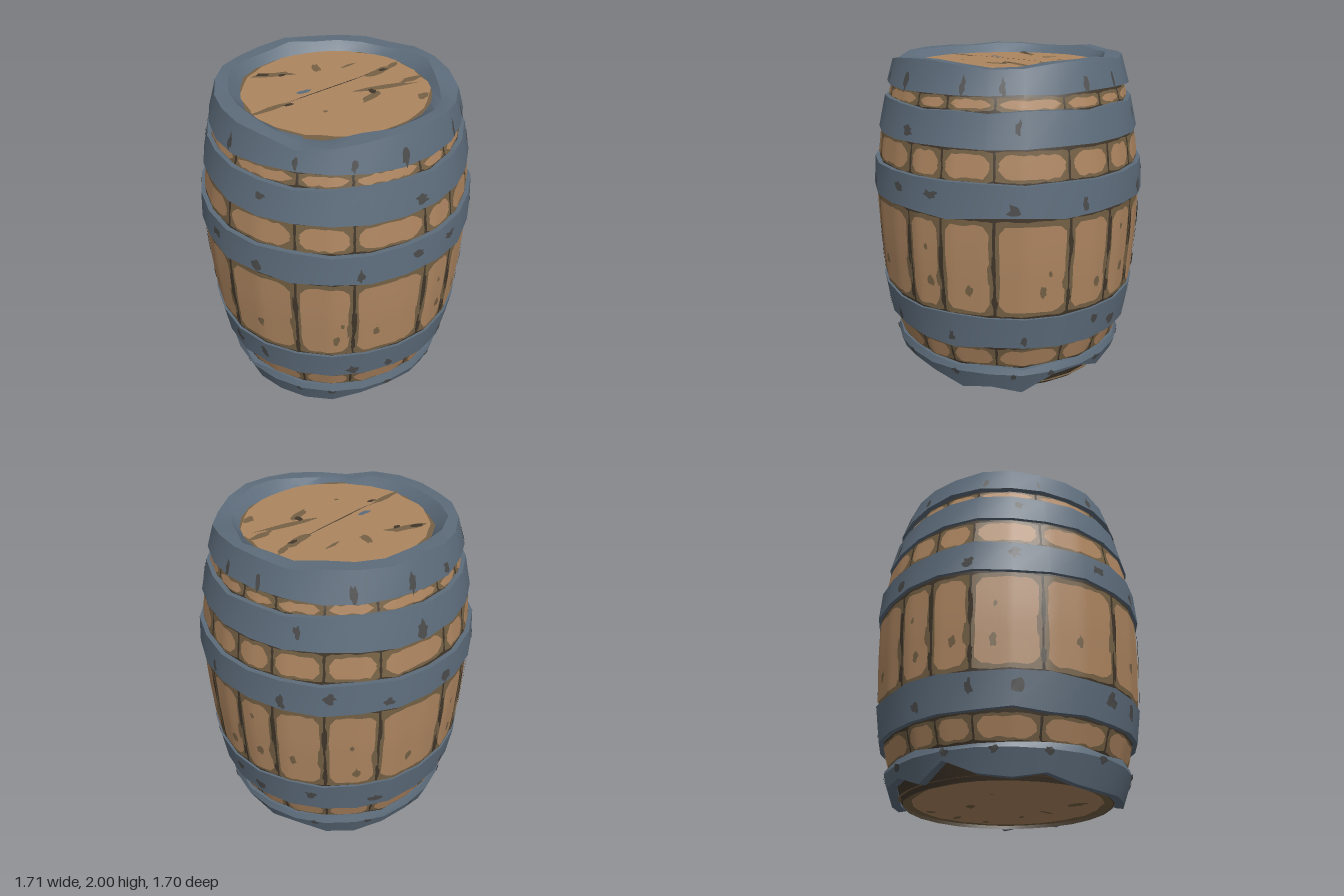
import * as THREE from 'three';
import { mergeGeometries, toCreasedNormals } from 'three/addons/utils/BufferGeometryUtils.js';

const material = (name, color) => {
  const m = new THREE.MeshStandardMaterial({ color, side: THREE.DoubleSide });
  m.name = name;
  return m;
};

// Small seeded random numbers
let seed = 11;
const rnd = () => (seed = (seed * 16807) % 2147483647) / 2147483647;
const jit = (a) => (rnd() * 2 - 1) * a;

const RAD = Math.PI / 180, N = 24, STEP = 360 / N;
const corners = Array.from({ length: N }, () => 1 + jit(0.011));

// Radius factor of the uneven 24-sided plan; angle in degrees from +z toward +x
function plan(deg) {
  const d = ((deg % 360) + 360) % 360, i = Math.floor(d / STEP) % N;
  const a = (d - i * STEP) * RAD, D = STEP * RAD;
  const p = corners[i], q = corners[(i + 1) % N];
  return (p * q * Math.sin(D)) / (p * Math.sin(a) + q * Math.sin(D - a));
}
const polar = (deg, r, y) => {
  const R = r * plan(deg);
  return new THREE.Vector3(R * Math.sin(deg * RAD), y, R * Math.cos(deg * RAD));
};
// Linear lookup in a list of [y, radius]
function lookup(list, y) {
  let i = 0;
  while (i < list.length - 2 && y > list[i + 1][0]) i++;
  const [a, ra] = list[i], [b, rb] = list[i + 1];
  return ra + ((rb - ra) * (y - a)) / (b - a);
}

// Grid surface from point(column, row); columns run right, rows run up
function grid(cols, rows, point) {
  const pos = [], idx = [], w = cols + 1;
  for (let j = 0; j <= rows; j++) for (let i = 0; i <= cols; i++) pos.push(...point(i, j).toArray());
  for (let j = 0; j < rows; j++) for (let i = 0; i < cols; i++) {
    const a = j * w + i;
    idx.push(a, a + 1, a + w + 1, a, a + w + 1, a + w);
  }
  const g = new THREE.BufferGeometry();
  g.setAttribute('position', new THREE.Float32BufferAttribute(pos, 3));
  g.setIndex(idx);
  return toCreasedNormals(g.toNonIndexed(), 0.5);
}

// Irregular flat spot placed through a (u, v) mapping
function blob(map, u, v, du, dv, turn = 0, rough = 0.3) {
  const n = 12, ring = [];
  for (let i = 0; i < n; i++) {
    const a = (i / n) * Math.PI * 2, k = 1 + jit(rough);
    const x = Math.cos(a) * du * k, y = Math.sin(a) * dv * k;
    ring.push([u + x * Math.cos(turn) - y * Math.sin(turn), v + x * Math.sin(turn) + y * Math.cos(turn)]);
  }
  return grid(n, 1, (i, j) => (j ? map(u, v) : map(...ring[i % n])));
}

// Rounded, slightly wavy plank face wrapped on the staves
const staveProfile = [[0.02, 0.63], [0.2, 0.715], [0.36, 0.765], [0.57, 0.81], [0.9, 0.83],
  [1.17, 0.835], [1.36, 0.815], [1.54, 0.79], [1.74, 0.735], [1.83, 0.71], [1.93, 0.62]];
const onStave = (off) => (deg, y) => polar(deg, lookup(staveProfile, y) + off, y);
function plank(a0, a1, y0, y1, off, round, wave) {
  const cols = Math.max(6, Math.ceil((a1 - a0) / 2.5)), rows = 6, map = onStave(off);
  const top = Array.from({ length: cols + 1 }, () => jit(wave));
  const bot = top.map(() => jit(wave));
  const side = Array.from({ length: rows + 1 }, () => [jit(wave * 60), jit(wave * 60)]);
  return grid(cols, rows, (i, j) => {
    const t = i / cols, s = j / rows, e = Math.max(0, (Math.abs(2 * t - 1) - 0.6) / 0.4);
    const cut = round * (1 - Math.sqrt(1 - e * e * 0.99));
    const lo = y0 + cut + bot[i], hi = y1 - cut + top[i];
    return map(a0 + (a1 - a0) * t + side[j][0] * (1 - t) + side[j][1] * t, lo + (hi - lo) * s);
  });
}

export function createModel() {
  const group = new THREE.Group();
  const wood = material('wood', 0xad8560);
  const woodShade = material('wood edge', 0x756145);
  const gap = material('dark gap', 0x40362a);
  const iron = material('blue iron', 0x5d6c7b);
  const stain = material('iron stain', 0x494a49);
  const add = (name, geos, mat) => {
    const mesh = new THREE.Mesh(Array.isArray(geos) ? mergeGeometries(geos) : geos, mat);
    mesh.name = name;
    group.add(mesh);
  };

  // Barrel wall
  add('staveWall', grid(N, staveProfile.length - 1, (i, j) =>
    polar(i * STEP, staveProfile[j][1], staveProfile[j][0])), gap);

  // Plank faces showing between the hoops
  const joints = [-75, -44, -21, 10, 26.5, 48, 78, 98, 115, 136, 158, 190, 207, 224, 252, 285];
  const bands = [[0.2, 0.36, 0.022], [0.57, 1.17, 0.034], [1.36, 1.55, 0.026], [1.73, 1.825, 0.02]];
  const edges = [], faces = [], knots = [], slits = [];
  for (const [y0, y1, m] of bands) for (let k = 0; k < joints.length - 1; k++) {
    const a = joints[k], b = joints[k + 1];
    edges.push(plank(a + 0.5, b - 0.5, y0 + 0.008, y1 - 0.014, 0.004, 0.008, 0.004));
    faces.push(plank(a + 1.9, b - 1.9, y0 + m, y1 - m - 0.008, 0.008, Math.min(0.05, (y1 - y0) / 4), 0.006));
    if (y1 - y0 < 0.5) continue;
    // Knots and dark splits in the long planks
    const c = a + (b - a) * (0.3 + 0.4 * rnd());
    knots.push(blob(onStave(0.012), c, 0.68 + rnd() * 0.1, 1.5, 0.035));
    if (k % 2) knots.push(blob(onStave(0.012), c + jit(3), 0.82 + rnd() * 0.25, 0.8, 0.02));
    knots.push(blob(onStave(0.012), b - 1.6, 0.75 + rnd() * 0.1, 1.3, 0.07));
    slits.push(blob(onStave(0.014), a, 0.95 + jit(0.1), 0.9, 0.12, 0, 0.4));
    slits.push(blob(onStave(0.014), a, 0.67 + jit(0.02), 1, 0.05, 0, 0.4));
  }
  add('plankEdges', edges, woodShade);
  add('plankFaces', faces, wood);
  add('plankKnots', knots, woodShade);
  add('plankSplits', slits, gap);

  // Three middle hoops with uneven edges
  const hoops = [[0.36, 0.57, 0.795, 0.825], [1.17, 1.36, 0.857, 0.843], [1.55, 1.735, 0.808, 0.765]];
  const spots = [];
  for (const [y0, y1, r0, r1] of hoops) {
    const lo = Array.from({ length: N }, () => y0 + jit(0.013));
    const hi = lo.map(() => y1 + jit(0.013));
    const r = (y) => lookup([[y0, r0], [y1, r1]], y);
    add('hoop', grid(N, 3, (i, j) => {
      const y = j < 2 ? lo[i % N] : hi[i % N];
      return polar(i * STEP, r(y) - (j % 3 ? 0 : 0.06), y);
    }), iron);
    const map = (d, y) => polar(d, r(y) + 0.005, y), h = y1 - y0;
    const amount = y0 > 1.5 ? 6 : 13;
    for (let k = 0; k < amount; k++) {
      const d = (k * 360) / amount + jit(9), low = rnd() < 0.5;
      spots.push(blob(map, d, low ? y0 + h * 0.3 : y0 + h * 0.58, 1 + rnd() * 2.2, h * (0.12 + rnd() * 0.12), 0, 0.45));
    }
  }

  // Top hoop: outer wall, worn rim and sloped inner lip
  const rimTop = Array.from({ length: N }, (_, i) => 1.985 + jit(0.012));
  rimTop[21] = 1.935; rimTop[22] = 1.955; rimTop[3] = 1.955; rimTop[4] = 1.96; rimTop[12] = 2;
  const rimLow = rimTop.map(() => 1.82 + jit(0.012));
  const rimIn = rimTop.map(() => 0.62 + jit(0.025));
  const lipIn = rimTop.map(() => 0.555 + jit(0.015));
  const rimR = (y) => lookup([[1.82, 0.748], [1.985, 0.698]], y);
  add('topHoop', grid(N, 4, (i, j) => {
    const k = i % N, y = j < 2 ? rimLow[k] : rimTop[k];
    const r = [rimR(y) - 0.05, rimR(y), rimR(y), rimIn[k], lipIn[k]][j];
    return polar(i * STEP, r, j === 4 ? 1.928 : y);
  }), iron);
  for (let k = 0; k < 13; k++)
    spots.push(blob((d, y) => polar(d, rimR(y) + 0.005, y), k * 28 + jit(8), 1.868, 0.8 + rnd(), 0.025 + rnd() * 0.03, 0, 0.4));

  // Bottom hoop with broken teeth along the ground
  const teeth = [0.12, 0.1, 0.03, 0.06, 0.02, 0.14, 0.15, 0.07, 0.11, 0.03, 0.02, 0.09,
    0.1, 0.03, 0.12, 0.04, 0.02, 0.05, 0.01, 0, 0.01, 0.01, 0.02, 0.1];
  const footTop = teeth.map(() => 0.2 + jit(0.018));
  const footR = (y) => lookup([[0, 0.69], [0.17, 0.752], [0.21, 0.735]], y);
  add('bottomHoop', grid(N, 5, (i, j) => {
    const k = i % N, lo = teeth[k], y = [0.14, lo + 0.005, lo, 0.165, footTop[k], footTop[k]][j];
    return polar(i * STEP, footR(y) - [0.08, 0.055, 0, 0, 0, 0.06][j], y);
  }), iron);
  for (let k = 0; k < 14; k++)
    spots.push(blob((d, y) => polar(d, footR(y) + 0.005, y), k * 25.7 + jit(6), 0.155, 1.2 + rnd() * 1.2, 0.02, 0, 0.4));
  add('hoopStains', spots, stain);

  // Lid and base: dark edge disc with a lighter wavy disc over it
  const disc = (y, up) => (u, v) => new THREE.Vector3(u, y, up ? -v : v);
  const round = (map, r, n, wave) => {
    const radii = Array.from({ length: n }, () => r + jit(wave));
    return grid(n, 1, (i, j) => {
      const a = (i / n) * Math.PI * 2, q = j ? 0 : radii[i % n];
      return map(Math.cos(a) * q, Math.sin(a) * q);
    });
  };
  add('lidEdge', round(disc(1.93, true), 0.585, 32, 0.012), woodShade);
  add('lidFace', round(disc(1.936, true), 0.545, 40, 0.012), wood);
  add('baseEdge', round(disc(0.045, false), 0.655, 32, 0.004), woodShade);
  add('baseFace', round(disc(0.039, false), 0.57, 40, 0.012), wood);

  // Cracks and worn patches on the lid and base: [x, -z, length, width, turn]
  const worn = [[-0.44, -0.05, 0.15, 0.018, 0.15], [0.34, 0.08, 0.09, 0.03, 0.25], [0.27, -0.12, 0.2, 0.022, -0.2],
    [0.14, -0.18, 0.09, 0.025, 0.4], [-0.24, 0.34, 0.13, 0.03, -0.35], [0.03, 0.3, 0.025, 0.06, -0.3],
    [0.22, 0.24, 0.06, 0.012, 0.2], [0.4, -0.32, 0.05, 0.03, 0.6], [0.46, -0.1, 0.08, 0.025, 0.1],
    [-0.18, -0.22, 0.012, 0.012, 0], [0.47, 0.12, 0.05, 0.02, 0.5]];
  const cracks = [[0, 0.02, 0.3, 0.005, 0.17], [0.37, 0.08, 0.035, 0.018, 0], [0.17, -0.14, 0.02, 0.03, 0],
    [-0.3, 0.36, 0.045, 0.018, -0.4], [-0.2, 0.3, 0.025, 0.014, 0], [-0.33, -0.06, 0.03, 0.012, 0]];
  add('lidWear', worn.map((w) => blob(disc(1.94, true), ...w)), woodShade);
  add('lidCracks', cracks.map((c) => blob(disc(1.944, true), ...c)), gap);
  add('lidChip', blob(disc(1.944, true), -0.18, 0.04, 0.04, 0.018, 0), iron);
  add('baseWear', worn.slice(3).map(([x, z, l, w, t]) => blob(disc(0.035, false), x, z, l * 0.5, w, t)), woodShade);
  return group;
}
